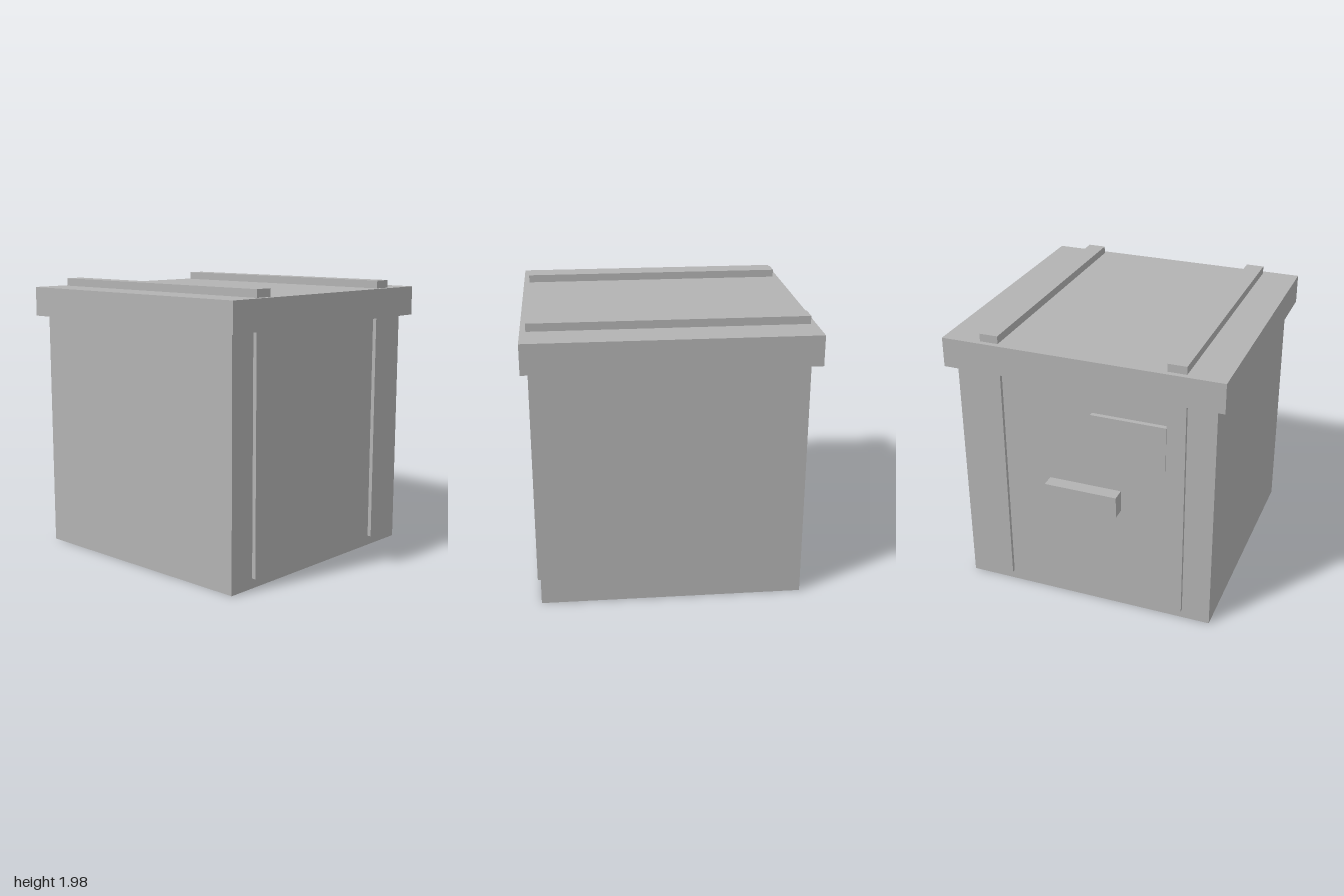
import * as THREE from 'three';

export function createModel() {
  const crate = new THREE.Group();
  crate.name = 'crate';
  const grey = new THREE.MeshStandardMaterial({ color: 0xb3b3b3 });
  grey.name = 'plain grey';

  // Box given by its lower and upper limits on each axis
  function box(name, [x0, x1], [y0, y1], [z0, z1]) {
    const mesh = new THREE.Mesh(new THREE.BoxGeometry(x1 - x0, y1 - y0, z1 - z0), grey);
    mesh.position.set((x0 + x1) / 2, (y0 + y1) / 2, (z0 + z1) / 2);
    mesh.name = name;
    crate.add(mesh);
  }

  // Body and overhanging lid
  box('body', [-0.92, 0.92], [0, 1.72], [-0.905, 0.932]);
  box('lid', [-0.985, 0.985], [1.715, 1.925], [-0.972, 1]);

  // Battens down the front, over the lid and down the back, on both sides
  for (const [side, x] of [['left', [0.59, 0.72]], ['right', [-0.72, -0.59]]]) {
    box(side + 'FrontBatten', x, [0.07, 1.72], [0.93, 0.96]);
    box(side + 'LidBatten', x, [1.92, 1.98], [-0.935, 0.96]);
    box(side + 'BackBatten', x, [0.07, 1.72], [-0.932, -0.9]);
  }

  // Handle and plate on the back
  box('handle', [-0.262, 0.262], [0.795, 0.952], [-1, -0.9]);
  box('plate', [-0.59, -0.06], [1.19, 1.52], [-0.938, -0.9]);

  return crate;
}
